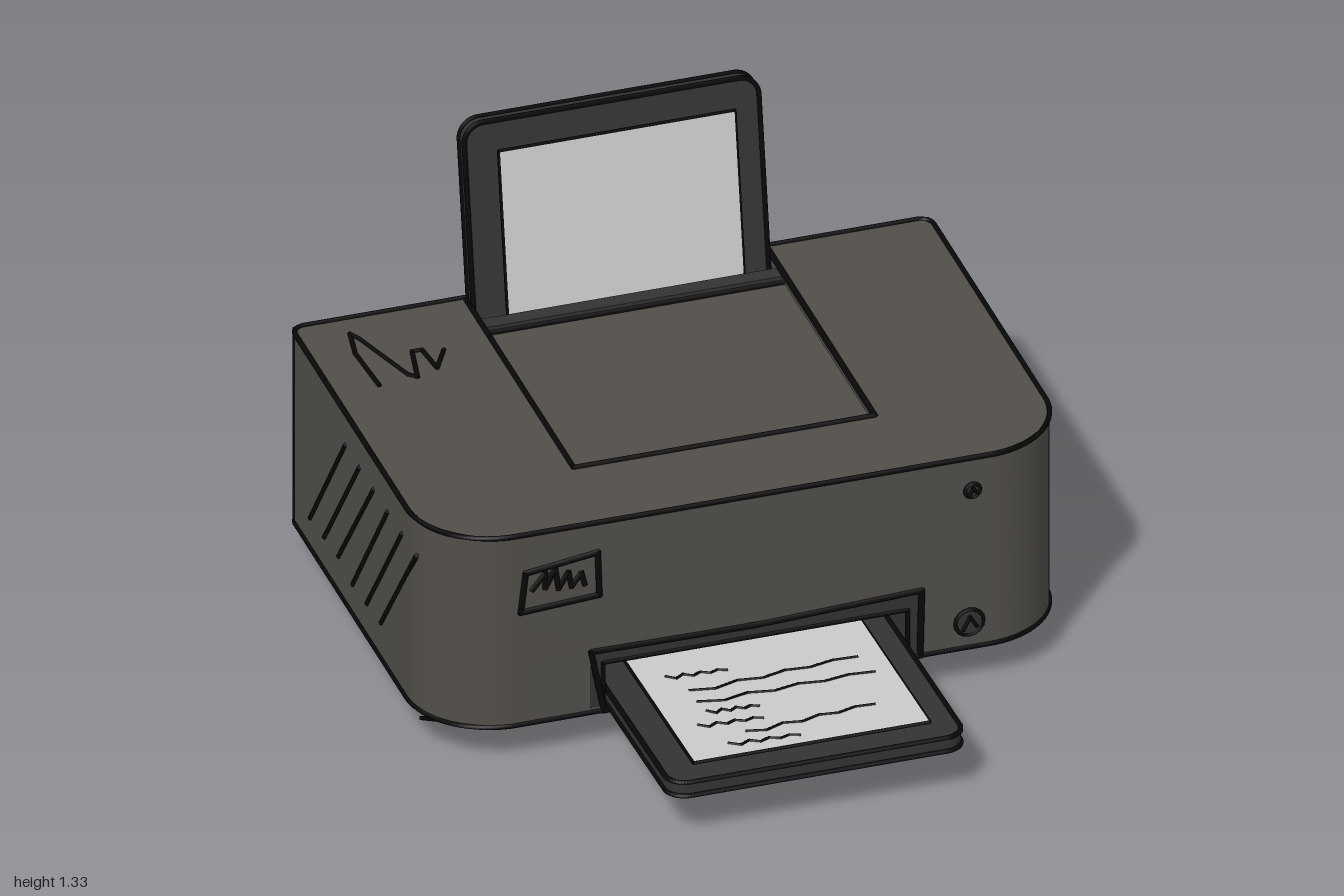
import * as THREE from 'three';
import { mergeGeometries, toCreasedNormals } from 'three/addons/utils/BufferGeometryUtils.js';

const mat = (color) => new THREE.MeshStandardMaterial({ color, side: THREE.DoubleSide });
const shell = mat(0x524f4a), dark = mat(0x333333), paperMat = mat(0xcccccc), inkMat = mat(0x080808);
const V = (x, y, z) => new THREE.Vector3(x, y, z);

function add(parent, name, geometry, material) {
  const mesh = new THREE.Mesh(geometry, material);
  mesh.name = name;
  parent.add(mesh);
  return mesh;
}

function box(parent, name, [x0, x1], [y0, y1], [z0, z1], material) {
  const mesh = add(parent, name, new THREE.BoxGeometry(x1 - x0, y1 - y0, z1 - z0), material);
  mesh.position.set((x0 + x1) / 2, (y0 + y1) / 2, (z0 + z1) / 2);
}

// Pen stroke: round segments joined along a list of points
function ink(parent, name, points, r = 0.007, closed = false) {
  const list = closed ? [...points, points[0]] : points;
  const parts = [];
  for (let i = 1; i < list.length; i++) {
    const d = list[i].clone().sub(list[i - 1]);
    if (d.length() < 1e-4) continue;
    const g = new THREE.CylinderGeometry(r, r, d.length() + r, 6);
    g.applyQuaternion(new THREE.Quaternion().setFromUnitVectors(V(0, 1, 0), d.clone().normalize()));
    const m = list[i].clone().add(list[i - 1]).multiplyScalar(0.5);
    parts.push(g.translate(m.x, m.y, m.z));
  }
  add(parent, name, mergeGeometries(parts), inkMat);
}

// Plan of the body, with shape y = -z; optional notch in the front edge
function bodyShape(notch) {
  const L = -0.98, R = 0.97, F = -0.41, B = 0.9, r = 0.25, b = 0.04;
  const s = new THREE.Shape();
  s.moveTo(L + r, F);
  if (notch) {
    s.lineTo(-0.5, F); s.lineTo(-0.5, -0.16); s.lineTo(0.51, -0.16); s.lineTo(0.51, F);
  }
  s.lineTo(R - r, F);
  s.absarc(R - r, F + r, r, -Math.PI / 2, 0);
  s.lineTo(R, B - b);
  s.absarc(R - b, B - b, b, 0, Math.PI / 2);
  s.lineTo(L + b, B);
  s.absarc(L + b, B - b, b, Math.PI / 2, Math.PI);
  s.lineTo(L, F + r);
  s.absarc(L + r, F + r, r, Math.PI, Math.PI * 1.5);
  return s;
}

function rectPath(x0, x1, z0, z1) {
  return new THREE.Path([[x0, -z0], [x1, -z0], [x1, -z1], [x0, -z1]].map(([x, y]) => new THREE.Vector2(x, y)));
}

function layer(parent, name, y0, y1, { notch = false, hole } = {}) {
  const s = bodyShape(notch);
  if (hole) s.holes.push(rectPath(...hole));
  const g = new THREE.ExtrudeGeometry(s, { depth: y1 - y0, bevelEnabled: false, curveSegments: 16 });
  g.rotateX(-Math.PI / 2).translate(0, y0, 0);
  add(parent, name, toCreasedNormals(g, 0.6), shell);
}

// Slab with rounded outer corners and inked edges, used by both trays
function tray(parent, name, len, tail) {
  const group = new THREE.Group();
  group.name = name;
  const w = 0.45, r = 0.06, t = 0.045, s = new THREE.Shape();
  s.moveTo(-w, -tail);
  s.lineTo(w, -tail);
  s.lineTo(w, len - r);
  s.absarc(w - r, len - r, r, 0, Math.PI / 2);
  s.lineTo(-w + r, len);
  s.absarc(-w + r, len - r, r, Math.PI / 2, Math.PI);
  s.closePath();
  const g = new THREE.ExtrudeGeometry(s, { depth: t, bevelEnabled: false, curveSegments: 6 });
  add(group, name + 'Slab', toCreasedNormals(g.translate(0, 0, -t), 0.6), dark);
  for (const z of [0, -t]) {
    ink(group, name + 'Edge', s.getPoints(6).map((p) => V(p.x, p.y, z)), 0.008);
  }
  parent.add(group);
  return group;
}

function paperSheet(parent, len, tail, z) {
  box(parent, 'paper', [-0.36, 0.36], [-tail, len], [z - 0.005, z + 0.005], paperMat);
  ink(parent, 'paperEdge', [V(-0.36, -tail, z), V(-0.36, len, z), V(0.36, len, z), V(0.36, -tail, z)], 0.006);
}

export function createModel() {
  const model = new THREE.Group();
  model.name = 'printer';

  // Body in layers: floor, output slot, feed well, recessed lid
  const body = new THREE.Group();
  body.name = 'body';
  model.add(body);
  layer(body, 'floor', 0.13, 0.14);
  layer(body, 'lowerBody', 0.14, 0.34, { notch: true });
  layer(body, 'middleBody', 0.34, 0.55);
  layer(body, 'upperBody', 0.55, 0.74, { hole: [-0.45, 0.47, -0.885, -0.73] });
  layer(body, 'topRim', 0.74, 0.77, { hole: [-0.45, 0.47, -0.885, 0.1] });
  box(body, 'feedWellFloor', [-0.45, 0.47], [0.55, 0.56], [-0.885, -0.73], dark);
  box(body, 'feedLip', [-0.45, 0.47], [0.7, 0.765], [-0.78, -0.73], dark);

  // Dark lining of the output slot
  for (const x of [-0.5, 0.47]) box(body, 'slotSide', [x, x + 0.04], [0.14, 0.34], [0.16, 0.4], dark);
  box(body, 'slotTop', [-0.5, 0.51], [0.29, 0.34], [0.16, 0.4], dark);
  box(body, 'slotBack', [-0.5, 0.51], [0.14, 0.34], [0.16, 0.2], dark);

  // Rear feed tray with a blank sheet
  const rear = tray(model, 'rearTray', 0.565, 0.17);
  rear.position.set(0.01, 0.77, -0.85);
  rear.rotation.x = -0.165;
  paperSheet(rear, 0.485, 0.1, 0.045);

  // Output tray with a printed sheet
  const front = tray(model, 'outputTray', 0.575, 0.2);
  front.position.set(0.005, 0.14, 0.41);
  front.rotation.x = Math.PI / 2 - 0.03;
  paperSheet(front, 0.51, 0.18, -0.068);
  const rows = [
    [-0.28, 0.02, -0.1, 0.03], [-0.24, 0.12, 0.28, 0.08], [-0.24, 0.19, 0.3, 0.18], [-0.23, 0.25, -0.08, 0.26],
    [-0.28, 0.32, -0.09, 0.33], [-0.16, 0.4, 0.24, 0.36], [-0.23, 0.45, -0.02, 0.46],
  ];
  rows.forEach(([x0, y0, x1, y1], row) => {
    const n = 7;
    const points = Array.from({ length: n + 1 }, (_, i) => V(x0 + (x1 - x0) * i / n,
      y0 + (y1 - y0) * i / n + (i % 2 ? 0.013 : -0.008) * (1 - 0.08 * i), -0.073));
    ink(front, 'writing' + row, points, 0.005);
  });

  // Inked edges of the body
  const outline = bodyShape(false).getPoints(10);
  for (const y of [0.13, 0.77]) ink(model, 'bodyEdge', outline.map((p) => V(p.x, y, -p.y)), 0.008, true);
  for (const x of [-0.97, 0.96]) ink(model, 'backCornerEdge', [V(x, 0.13, -0.89), V(x, 0.77, -0.89)], 0.008);
  ink(model, 'lidEdge', [V(-0.45, 0.77, -0.88), V(-0.45, 0.77, 0.1), V(0.47, 0.77, 0.1), V(0.47, 0.77, -0.88)], 0.009);
  ink(model, 'lidBackEdge', [V(-0.45, 0.745, -0.73), V(0.47, 0.745, -0.73)], 0.009);
  ink(model, 'slotEdge', [V(-0.5, 0.335, 0.41), V(0, 0.33, 0.41), V(0.51, 0.35, 0.41),
    V(0.505, 0.13, 0.41), V(-0.46, 0.13, 0.41)], 0.01, true);
  ink(model, 'slotInnerEdge', [V(-0.46, 0.14, 0.4), V(-0.46, 0.285, 0.4), V(0.47, 0.285, 0.4), V(0.47, 0.14, 0.4)], 0.007);
  for (let i = 0; i < 9; i++) {
    const x = -0.43 + i * 0.1;
    ink(model, 'slotHatch', [V(x, 0.21, 0.205), V(x + 0.07, 0.27, 0.205)], 0.008);
  }

  // Front label with a scribble
  const flat = (list, z) => list.map(([x, y]) => V(x, y, z));
  ink(model, 'labelFrame', flat([[-0.7, 0.64], [-0.48, 0.67], [-0.475, 0.525], [-0.715, 0.51]], 0.41), 0.01, true);
  ink(model, 'labelScribble', flat([[-0.68, 0.58], [-0.64, 0.63], [-0.64, 0.58], [-0.61, 0.64], [-0.6, 0.57],
    [-0.57, 0.62], [-0.56, 0.57], [-0.53, 0.61], [-0.52, 0.57]], 0.41), 0.009);

  // Round buttons
  for (const [x, y, r] of [[0.665, 0.66, 0.022], [0.655, 0.215, 0.042]]) {
    const button = add(model, 'button', new THREE.CylinderGeometry(r, r, 0.012, 16).rotateX(Math.PI / 2), dark);
    const ring = add(model, 'buttonRing', new THREE.TorusGeometry(r, 0.007, 6, 16), inkMat);
    button.position.set(x, y, 0.41);
    ring.position.set(x, y, 0.412);
    ink(model, 'buttonMark', flat([[x - r / 2, y - r / 2], [x, y + r / 2], [x + r / 2, y - r / 3]], 0.417), 0.006);
  }

  // Loose pen marks on the top and sides
  ink(model, 'topScribble', [[-0.84, -0.51], [-0.85, -0.7], [-0.83, -0.81], [-0.81, -0.77], [-0.74, -0.54],
    [-0.72, -0.52], [-0.69, -0.66], [-0.66, -0.66], [-0.65, -0.55], [-0.6, -0.64]].map(([x, z]) => V(x, 0.772, z)));
  ink(model, 'leftScribble', [[-0.52, 0.24], [-0.76, 0.455], [-0.615, 0.23], [-0.78, 0.37], [-0.73, 0.26],
    [-0.83, 0.21]].map(([z, y]) => V(0.97, y, z)), 0.009);
  for (let i = 0; i < 6; i++) {
    const z = -0.72 + i * 0.13;
    ink(model, 'rightHatch', [V(-0.98, 0.23 + 0.01 * (i % 3), z), V(-0.98, 0.66, z + 0.32)], 0.008);
  }
  // Strokes trailing beneath the right side
  for (const [z0, z1, y] of [[0.27, 0.18, 0.01], [0.2, 0.13, 0.02], [0.18, 0.11, 0.025], [0.16, 0.09, 0.03]]) {
    ink(model, 'trailingStroke', [V(-0.97, 0.12, z0), V(-0.77, y, z1)], 0.007);
  }
  return model;
}
